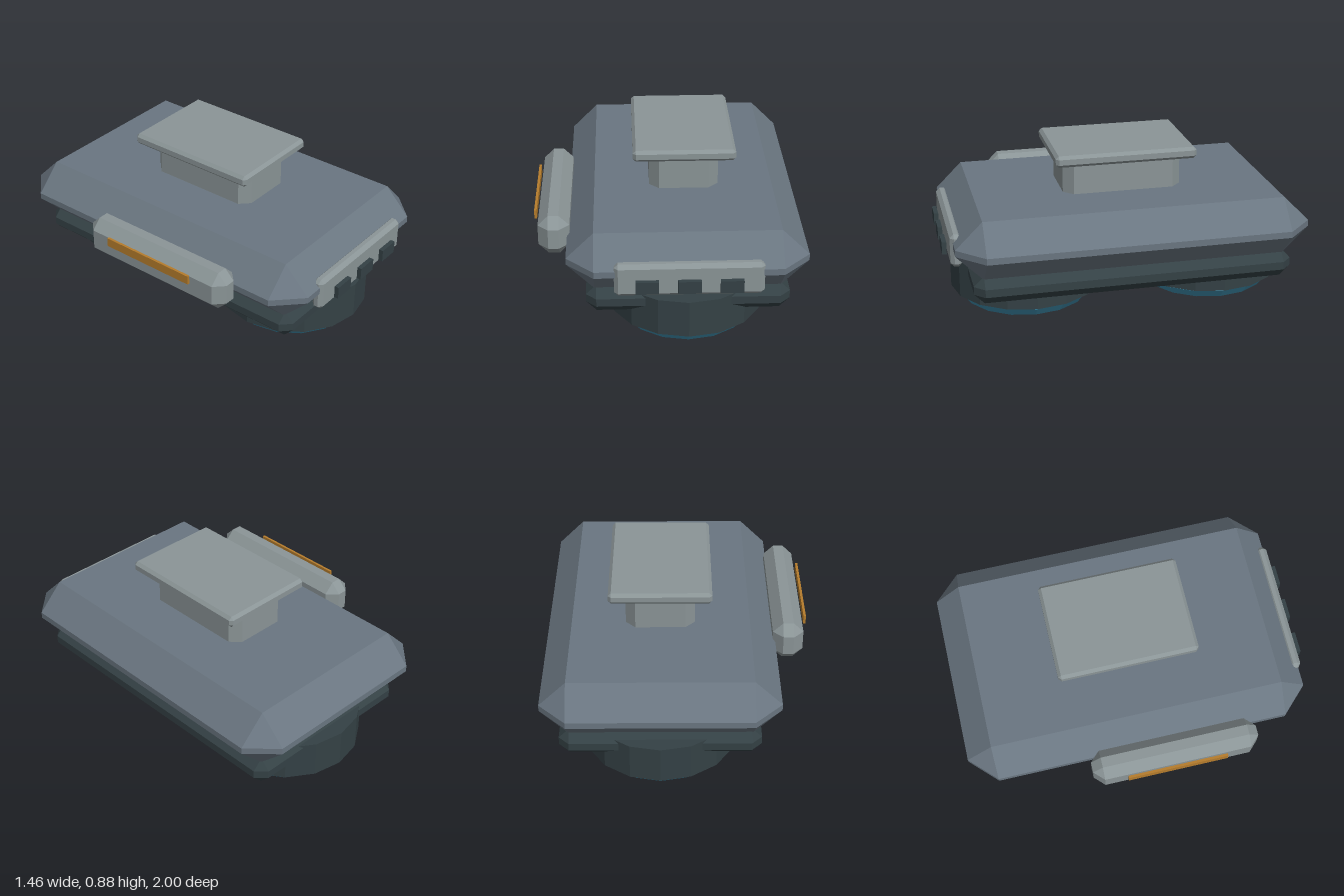
import * as THREE from 'three';
import { ConvexGeometry } from 'three/addons/geometries/ConvexGeometry.js';

const SIDES = 16;
const AXIS_X = 0.09; // centre line of hull and fans

const paint = (color) => new THREE.MeshStandardMaterial({ color, flatShading: true });

// Box between two corners with all edges cut by c
function chamferBox([x0, y0, z0], [x1, y1, z1], c) {
  const mid = [(x0 + x1) / 2, (y0 + y1) / 2, (z0 + z1) / 2];
  const half = [(x1 - x0) / 2, (y1 - y0) / 2, (z1 - z0) / 2];
  const points = [];
  for (const sx of [-1, 1]) for (const sy of [-1, 1]) for (const sz of [-1, 1]) {
    const s = [sx, sy, sz];
    for (let full = 0; full < 3; full++) {
      const p = s.map((sign, i) => mid[i] + sign * (half[i] - (i === full ? 0 : c)));
      points.push(new THREE.Vector3(...p));
    }
  }
  return new ConvexGeometry(points);
}

function plainBox([x0, y0, z0], [x1, y1, z1]) {
  return new THREE.BoxGeometry(x1 - x0, y1 - y0, z1 - z0)
    .translate((x0 + x1) / 2, (y0 + y1) / 2, (z0 + z1) / 2);
}

export function createModel() {
  const model = new THREE.Group();
  const hullPaint = paint(0x6a7681);
  const trimPaint = paint(0x8b9597);
  const darkPaint = paint(0x344145);
  const bluePaint = paint(0x3f8fae);
  const amberPaint = paint(0xb57c2c);
  const fanPaint = paint(0x7d8284);

  const add = (name, geometry, material, parent = model) => {
    const mesh = new THREE.Mesh(geometry, material);
    mesh.name = name;
    parent.add(mesh);
    return mesh;
  };

  // Hull and lower skirt
  add('hull', chamferBox([-0.55, 0.295, -1], [0.725, 0.625, 0.95], 0.147), hullPaint);
  add('skirt', chamferBox([-0.45, 0.16, -0.905], [0.63, 0.315, 0.86], 0.055), darkPaint);

  // Raised neck and its flat roof
  add('neck', chamferBox([-0.1, 0.56, -0.355], [0.28, 0.865, 0.31], 0.053), trimPaint);
  add('roof', chamferBox([-0.19, 0.81, -0.415], [0.37, 0.875, 0.37], 0.017), trimPaint);

  // Side pod with light strip
  add('sidePod', chamferBox([-0.705, 0.37, -0.335], [-0.535, 0.595, 0.61], 0.056), trimPaint);
  add('lightStrip', plainBox([-0.73, 0.505, -0.15], [-0.716, 0.555, 0.415]), amberPaint);

  // Front panel with three vents
  add('frontPanel', chamferBox([-0.3, 0.335, 0.9], [0.477, 0.52, 0.965], 0.021), trimPaint);
  for (let i = 0; i < 3; i++) {
    const x = -0.19 + i * 0.218;
    add('vent', plainBox([x, 0.372, 0.975], [x + 0.12, 0.442, 1]), darkPaint);
  }

  // Two lift fans under the hull
  const rimProfile = [[0.31, 0.07], [0.31, 0.012], [0.322, 0], [0.355, 0], [0.395, 0.05], [0.385, 0.07], [0.31, 0.07]]
    .map(([r, y]) => new THREE.Vector2(r, y)).reverse();
  for (const z of [0.51, -0.552]) {
    const fan = new THREE.Group();
    fan.name = z > 0 ? 'frontFan' : 'rearFan';
    fan.position.set(AXIS_X, 0, z);
    model.add(fan);
    add('housing', new THREE.CylinderGeometry(0.425, 0.425, 0.21, SIDES).translate(0, 0.17, 0), darkPaint, fan);
    // Profile order is outward for Lathe; double-sided keeps the inner wall solid
    const rim = add('rim', new THREE.LatheGeometry(rimProfile, SIDES), bluePaint.clone(), fan);
    rim.material.side = THREE.DoubleSide;
    add('hub', new THREE.CylinderGeometry(0.1, 0.1, 0.06, SIDES).translate(0, 0.045, 0), fanPaint, fan);
    for (let i = 0; i < 3; i++) {
      const spoke = add('spoke', new THREE.BoxGeometry(0.05, 0.03, 0.64), fanPaint, fan);
      spoke.position.y = 0.048;
      spoke.rotation.y = (i * Math.PI) / 3;
    }
  }

  return model;
}
